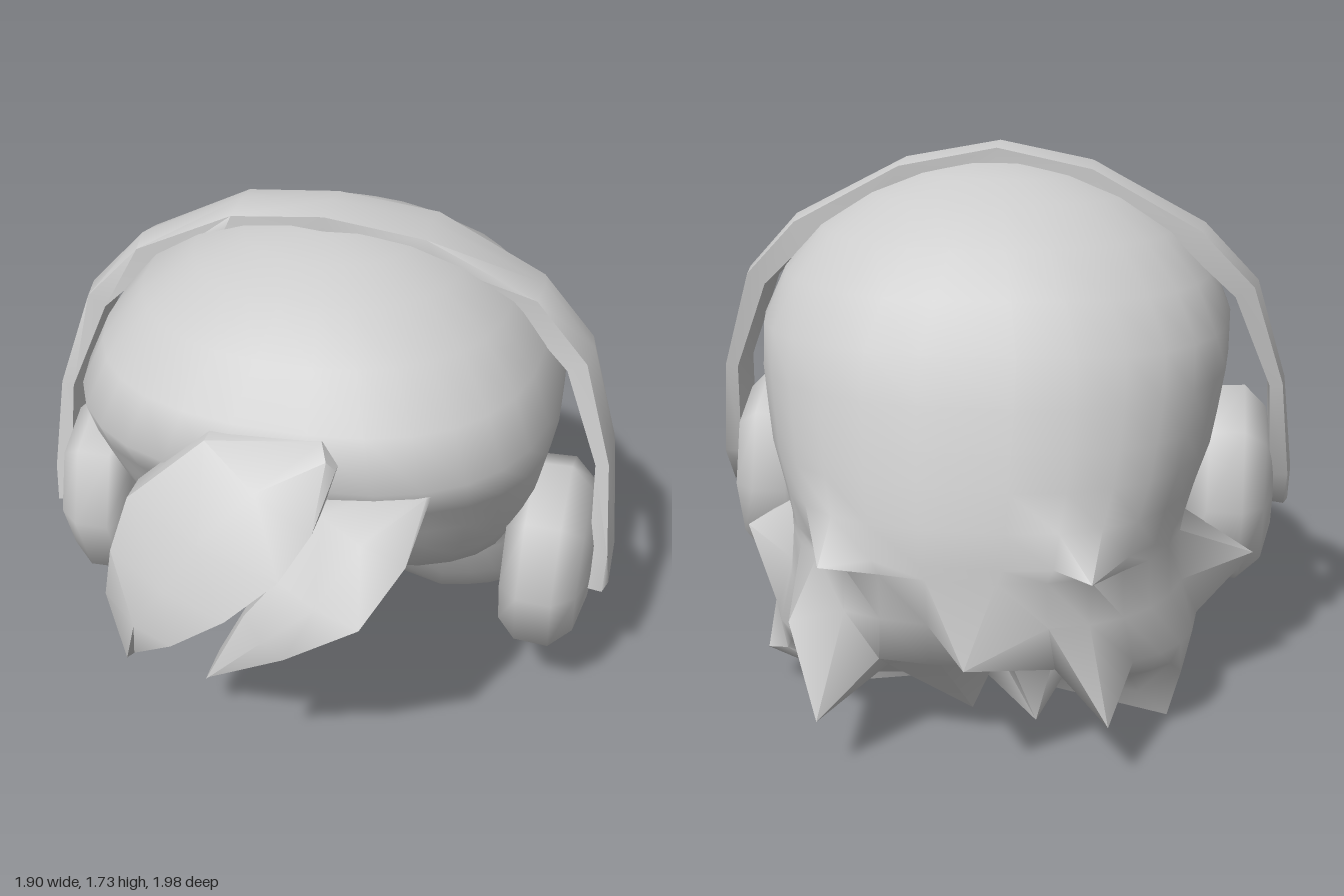
import * as THREE from 'three';
import { toCreasedNormals } from 'three/addons/utils/BufferGeometryUtils.js';

const material = new THREE.MeshStandardMaterial({ color: 0xcccccc });

// Skin a list of equal-length loops and close both ends
function loft(loops, crease) {
  const n = loops[0].length, pos = loops.flat(2), index = [];
  for (let k = 0; k < loops.length - 1; k++) {
    for (let i = 0; i < n; i++) {
      const a = k * n + i, b = k * n + (i + 1) % n;
      index.push(a, b, a + n, b, b + n, a + n);
    }
  }
  [0, loops.length - 1].forEach((k, end) => {
    const c = pos.length / 3;
    for (let j = 0; j < 3; j++) pos.push(loops[k].reduce((s, p) => s + p[j], 0) / n);
    for (let i = 0; i < n; i++) {
      const a = k * n + i, b = k * n + (i + 1) % n;
      if (end) index.push(c, a, b); else index.push(c, b, a);
    }
  });
  const g = new THREE.BufferGeometry();
  g.setAttribute('position', new THREE.Float32BufferAttribute(pos, 3));
  g.setIndex(index);
  return toCreasedNormals(g, crease);
}

function part(name, geometry) {
  const mesh = new THREE.Mesh(geometry, material);
  mesh.name = name;
  return mesh;
}

// Main hair volume: horizontal sections, then spikes pulled out
function hairGeometry() {
  // y, half width, front z, back z, z of widest point, roundness
  const rows = [
    [1.67, 0.12, 0.11, -0.13, 0, 0.9], [1.64, 0.26, 0.22, -0.25, 0, 0.9],
    [1.58, 0.41, 0.36, -0.37, 0, 0.9], [1.48, 0.56, 0.51, -0.51, 0, 0.85],
    [1.35, 0.67, 0.65, -0.61, 0, 0.8], [1.21, 0.73, 0.71, -0.69, 0, 0.75],
    [1.08, 0.73, 0.62, -0.74, 0, 0.75], [0.96, 0.71, 0.55, -0.78, -0.02, 0.75],
    [0.86, 0.69, 0.50, -0.81, -0.05, 0.75], [0.75, 0.65, 0.42, -0.84, -0.08, 0.75],
    [0.65, 0.62, 0.33, -0.86, -0.1, 0.75], [0.61, 0.61, 0.08, -0.86, -0.2, 0.8],
    [0.46, 0.62, 0.02, -0.83, -0.25, 0.8], [0.31, 0.66, -0.06, -0.78, -0.32, 0.8],
    [0.18, 0.63, -0.15, -0.71, -0.38, 0.8], [0.10, 0.50, -0.27, -0.60, -0.42, 0.85],
  ];
  const n = 30;
  const loops = rows.map(([y, w, zf, zb, zc, round]) => Array.from({ length: n }, (_, i) => {
    const power = (v) => Math.sign(v) * Math.abs(v) ** round;
    const t = i / n * Math.PI * 2, s = power(Math.sin(t));
    const x = w * power(Math.cos(t));
    let z = zc + s * (s > 0 ? zf - zc : zc - zb);
    const middle = Math.max(0, 1 - Math.abs(x + 0.08) / 0.4);
    // Opening above the face, hollow nape, and a valley in the lower edge
    if (s > 0 && Math.abs(x) < 0.22 && y > 0.62 && y < 0.9) z = 0.05 + (y - 0.65) * 1.4;
    if (s > 0 && y < 0.5) z -= middle * (0.5 - y) * 0.45;
    const lift = y < 0.2 ? 0.11 * middle + (z < -0.5 ? 0.06 : 0) : 0;
    return [x, y + lift, z];
  }));
  const tips = [
    [-0.03, 0.41, -1.0], [0.41, 0.18, -0.92], [-0.37, 0.65, -0.92], [0.40, 0.64, -0.88],
    [-0.42, 0.20, -0.88], [0.52, 0.42, -0.78], [-0.83, 0.48, -0.22], [0.80, 0.50, -0.25],
    [-0.58, 0.0, -0.42], [-0.40, 0.03, -0.36], [0.48, 0.03, -0.40], [0.71, 0.13, -0.38],
    [0.01, 0.07, -0.58], [-0.2, 0.12, -0.72], [0.71, 0.25, -0.28],
  ];
  const points = loops.flat(), used = new Set();
  for (const tip of tips) {
    let best = null, bestD = Infinity;
    for (const p of points) {
      const d = Math.hypot(p[0] - tip[0], p[1] - tip[1], p[2] - tip[2]);
      if (d < bestD && !used.has(p)) { best = p; bestD = d; }
    }
    used.add(best);
    for (let j = 0; j < 3; j++) best[j] = tip[j];
  }
  return loft(loops, 1.2);
}

// Fringe lock: pairs of edge points give the front face, the back is set behind it
function lockGeometry(sections, bulge, depth) {
  return loft(sections.map(([a, b]) => {
    const mid = (dz) => [(a[0] + b[0]) / 2, (a[1] + b[1]) / 2, (a[2] + b[2]) / 2 + dz];
    const behind = ([x, y, z]) => [x, y, z - depth];
    return [b, mid(bulge), a, behind(a), mid(bulge - depth), behind(b)];
  }), 0.9);
}

// Headband: thin strip from ear to ear over the top
function bandGeometry() {
  // outer x, outer y, inner x, inner y, front z, back z
  const half = [
    [0.95, 0.55, 0.87, 0.56, 0.15, 0.04], [0.95, 0.68, 0.88, 0.68, 0.13, -0.04],
    [0.91, 1.0, 0.86, 0.99, 0.08, -0.09], [0.81, 1.32, 0.74, 1.28, 0.03, -0.14],
    [0.64, 1.5, 0.58, 1.43, 0.0, -0.17], [0.29, 1.68, 0.33, 1.59, 0.04, -0.15],
  ];
  const top = [0, 1.73, 0, 1.66, 0.08, -0.1];
  const mirrored = half.map(([ox, oy, ix, iy, f, b]) => [-ox, oy, -ix, iy, f, b]);
  return loft([...mirrored, top, ...half.reverse()].map(([ox, oy, ix, iy, f, b]) => {
    const m = (f + b) / 2, e = 0.2;
    const ex = ox + (ix - ox) * e, ey = oy + (iy - oy) * e;
    return [[ex, ey, b], [ox, oy, m], [ex, ey, f], [ix, iy, f], [ix, iy, b]];
  }), 1.3);
}

// Ear cup: eight-sided rounded drum, axis along x
function cupGeometry() {
  const profile = [[0, 0.61], [0.27, 0.62], [0.335, 0.68], [0.34, 0.79], [0.27, 0.86], [0.14, 0.89], [0, 0.90]];
  const g = new THREE.LatheGeometry(profile.map(([r, y]) => new THREE.Vector2(r, y)), 8);
  g.rotateZ(-Math.PI / 2);
  g.scale(1, 1, 0.82);
  return g;
}

export function createModel() {
  const group = new THREE.Group();
  group.name = 'hairWithHeadphones';
  group.add(part('hair', hairGeometry()));

  group.add(part('largeFringeLock', lockGeometry([
    [[0.15, 1.34, 0.65], [0.20, 1.28, 0.69]],
    [[-0.17, 1.32, 0.70], [0.17, 1.16, 0.83]],
    [[-0.38, 1.14, 0.78], [0.10, 1.05, 0.92]],
    [[-0.43, 0.97, 0.82], [-0.04, 0.92, 0.97]],
    [[-0.45, 0.82, 0.84], [-0.20, 0.80, 0.98]],
    [[-0.42, 0.57, 0.80], [-0.38, 0.60, 0.84]],
  ], 0.03, 0.09)));
  group.add(part('smallFringeLock', lockGeometry([
    [[0.43, 1.19, 0.60], [0.45, 1.18, 0.61]],
    [[0.17, 1.16, 0.74], [0.42, 1.06, 0.78]],
    [[0.08, 1.01, 0.87], [0.33, 0.95, 0.94]],
    [[0.0, 0.91, 0.92], [0.12, 0.80, 0.95]],
    [[-0.12, 0.65, 0.90], [-0.13, 0.62, 0.90]],
  ], 0.02, 0.09)));

  group.add(part('headband', bandGeometry()));
  for (const side of [1, -1]) {
    const cup = part(side > 0 ? 'leftEarCup' : 'rightEarCup', cupGeometry());
    cup.position.set(0, 0.61, 0.05);
    if (side < 0) cup.rotation.y = Math.PI;
    group.add(cup);
  }
  return group;
}
